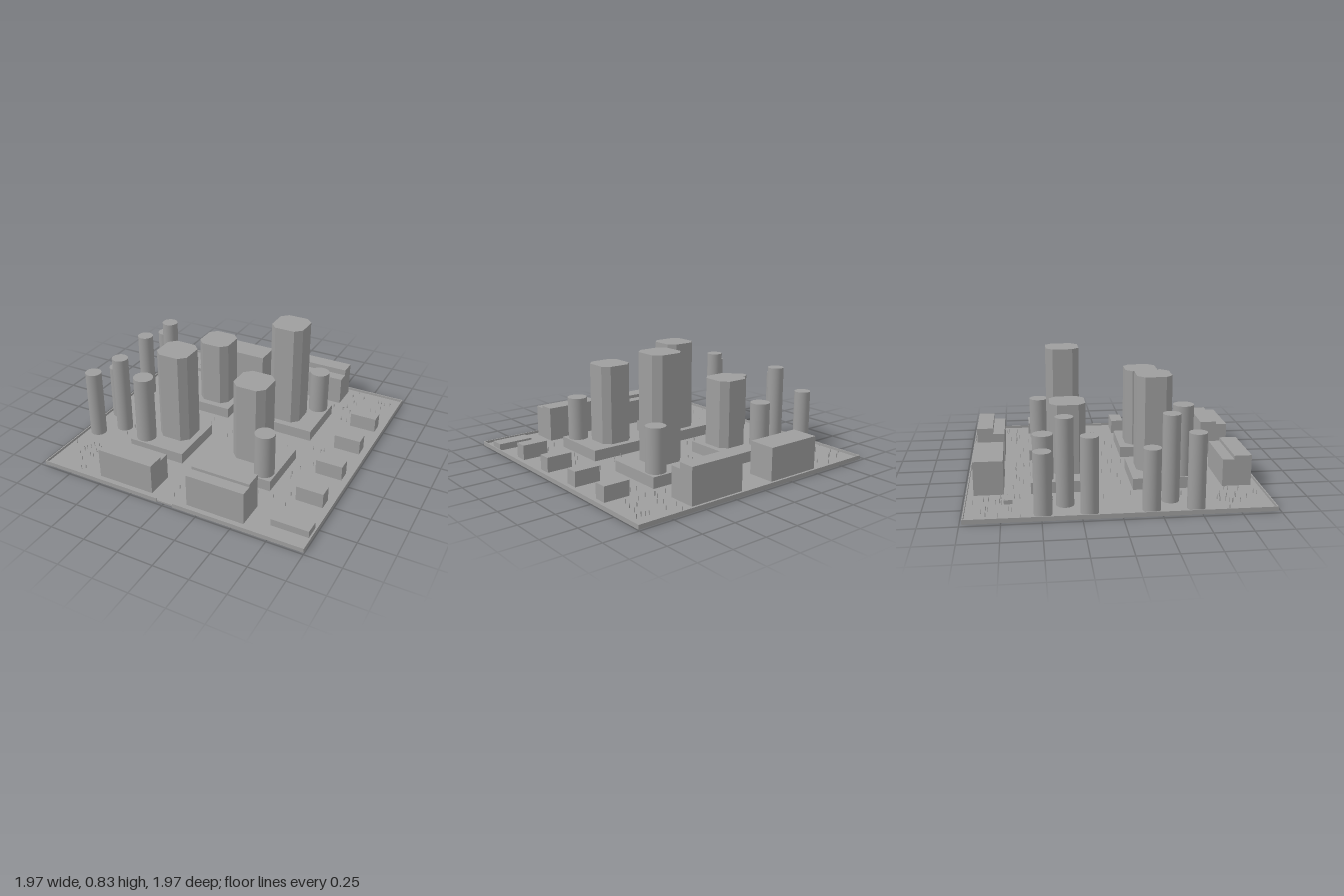
import * as THREE from 'three';

export function createModel() {
  const model = new THREE.Group();
  const grey = new THREE.MeshStandardMaterial({ color: 0x9e9e9e });
  grey.name = 'concrete grey';
  const GROUND = 0.012;

  const add = (name, geometry, x, y, z) => {
    const mesh = new THREE.Mesh(geometry, grey);
    mesh.name = name;
    mesh.position.set(x, y, z);
    model.add(mesh);
    return mesh;
  };
  // Box given by its x range, z range and y range
  const block = (name, x0, x1, z0, z1, top, bottom = GROUND) =>
    add(name, new THREE.BoxGeometry(x1 - x0, top - bottom, z1 - z0),
      (x0 + x1) / 2, (top + bottom) / 2, (z0 + z1) / 2);
  const column = (name, x, z, r, top, bottom = GROUND) =>
    add(name, new THREE.CylinderGeometry(r, r, top - bottom, 32), x, (top + bottom) / 2, z);

  // Ground slab and low perimeter wall with a gap for the entrance
  const X0 = -0.97, X1 = 0.995, Z = 0.985, T = 0.008, RIM = 0.03;
  block('ground', X0 + T, X1 - T, -Z + T, Z - T, GROUND, 0);
  block('backWall', X0, X1, -Z, -Z + T, RIM, 0);
  block('leftWall', X1 - T, X1, -Z + T, Z - T, RIM, 0);
  block('rightWall', X0, X0 + T, -Z + T, Z - T, RIM, 0);
  block('frontWallRight', X0, -0.05, Z - T, Z, RIM, 0);
  block('frontWallLeft', 0.07, X1, Z - T, Z, RIM, 0);

  // Octagonal tower: square with cut corners
  const h = 0.12, c = 0.072;
  const octagon = new THREE.Shape([
    [h, -c], [h, c], [c, h], [-c, h], [-h, c], [-h, -c], [-c, -h], [c, -h],
  ].map(([x, y]) => new THREE.Vector2(x, y)));
  const PODIUM = 0.09;
  const plots = [
    // podium centre, tower height, turret position and height
    { x: -0.33, z: -0.345, tx: -0.285, tz: -0.3, tall: 0.575, cx: -0.46, cz: -0.475, turret: 0.4 },
    { x: 0.35, z: -0.345, tx: 0.31, tz: -0.3, tall: 0.835, cx: 0.48, cz: -0.475, turret: 0.4 },
    { x: -0.33, z: 0.335, tx: -0.285, tz: 0.29, tall: 0.75, cx: -0.46, cz: 0.467, turret: 0.575 },
    { x: 0.35, z: 0.335, tx: 0.31, tz: 0.29, tall: 0.66, cx: 0.48, cz: 0.467, turret: 0.4 },
  ];
  for (const p of plots) {
    block('podium', p.x - 0.212, p.x + 0.212, p.z - 0.214, p.z + 0.214, PODIUM);
    const geometry = new THREE.ExtrudeGeometry(octagon, { depth: p.tall - PODIUM, bevelEnabled: false });
    geometry.rotateX(-Math.PI / 2);
    add('octagonalTower', geometry, p.tx, PODIUM, p.tz);
    column('roundTurret', p.cx, p.cz, 0.07, p.turret, PODIUM);
  }

  // Free-standing round towers
  for (const [x, z, top] of [
    [-0.885, -0.49, 0.42], [-0.745, -0.345, 0.595], [-0.885, -0.2, 0.51],
    [-0.885, 0.19, 0.42], [-0.745, 0.335, 0.595], [-0.885, 0.475, 0.51],
  ]) column('roundTower', x, z, 0.058, top);

  // Long slab buildings, most with a stepped roof
  block('backRightSlab', -0.535, -0.12, -0.935, -0.737, 0.245);
  block('backLeftSlabHigh', 0.145, 0.56, -0.935, -0.82, 0.265);
  block('backLeftSlabLow', 0.145, 0.56, -0.82, -0.737, 0.222);
  block('frontRightSlabLow', -0.535, -0.12, 0.732, 0.81, 0.2);
  block('frontRightSlabHigh', -0.535, -0.12, 0.81, 0.93, 0.225);
  block('frontLeftSlabHigh', 0.145, 0.56, 0.732, 0.85, 0.265);
  block('frontLeftSlabLow', 0.145, 0.56, 0.85, 0.93, 0.245);

  // Small houses along one side, a low hall and a hut
  for (const z of [-0.51, -0.178, 0.17, 0.505]) block('smallHouse', 0.75, 0.94, z - 0.046, z + 0.046, 0.118);
  block('lowHall', 0.715, 0.975, 0.755, 0.86, 0.06);
  block('hut', -0.705, -0.608, -0.735, -0.68, 0.04);

  // Tiny posts scattered over the open ground
  let seed = 7;
  const random = () => (seed = (seed * 16807) % 2147483647) / 2147483647;
  const post = new THREE.BoxGeometry(0.004, 0.03, 0.004);
  const areas = [
    // x range, z range, count
    [-0.95, -0.58, -0.95, -0.6, 20], [-0.95, -0.58, 0.58, 0.95, 20],
    [-0.68, -0.57, -0.5, 0.5, 10], [0.62, 0.97, -0.95, -0.62, 18],
    [0.6, 0.72, -0.55, 0.7, 12], [-0.02, 0.03, -0.9, 0.9, 14],
    [-0.5, 0.55, -0.1, 0.1, 8], [-0.5, 0.55, 0.6, 0.7, 8], [-0.5, 0.55, -0.7, -0.6, 8],
  ];
  for (const [x0, x1, z0, z1, count] of areas) {
    for (let i = 0; i < count; i++) {
      add('post', post, x0 + random() * (x1 - x0), GROUND + 0.015, z0 + random() * (z1 - z0));
    }
  }
  return model;
}
